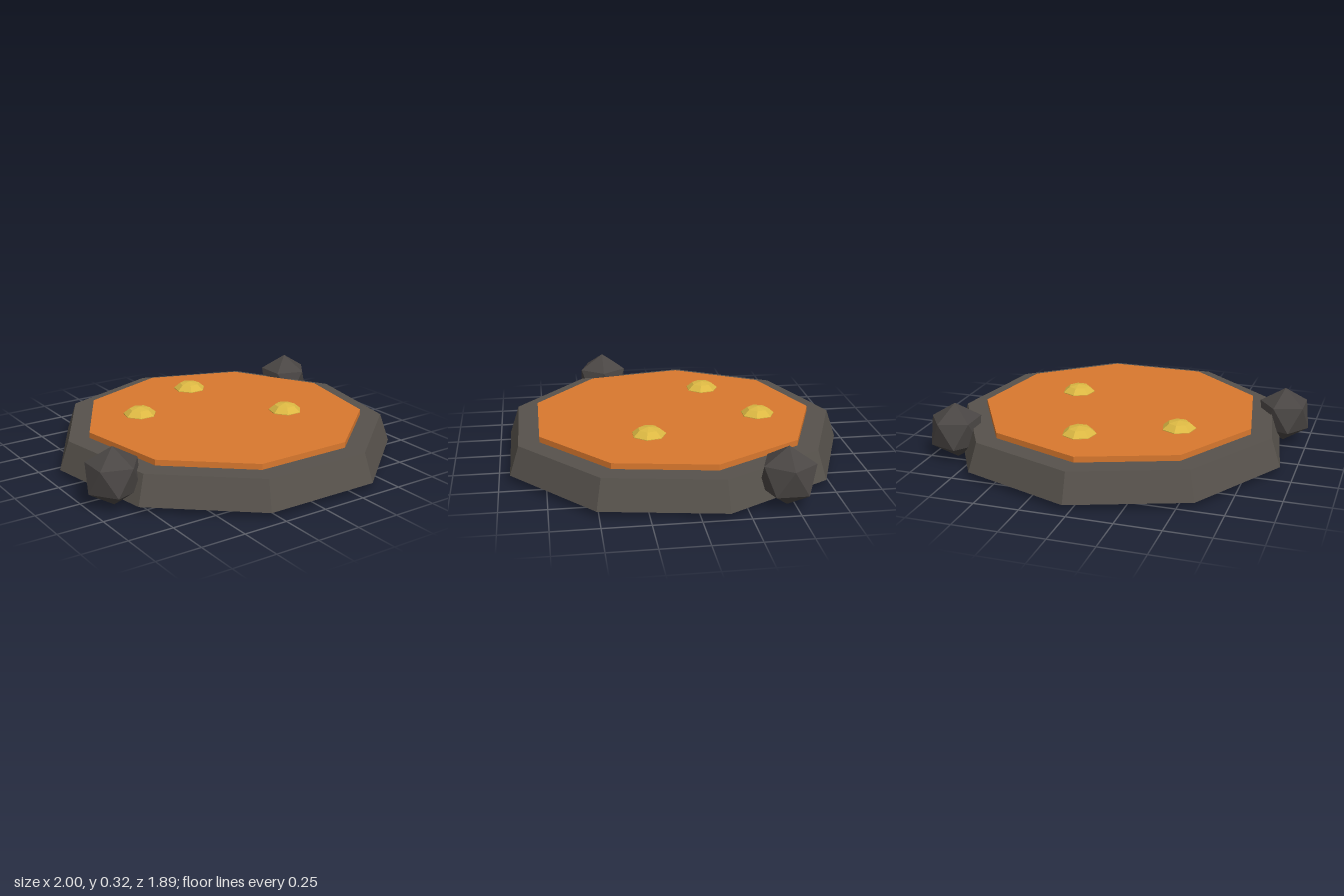
import * as THREE from 'three';

const mat = (name, color) => Object.assign(new THREE.MeshStandardMaterial({ color, flatShading: true }), { name });

export function createModel() {
  const group = new THREE.Group();
  const rimStone = mat('rim stone', 0x57524c);
  const darkRock = mat('dark rock', 0x4a4644);
  const lava = mat('orange lava', 0xd9782e);
  const gold = mat('golden bubble', 0xdcb843);

  const add = (name, geometry, material, x, y, z) => {
    const mesh = new THREE.Mesh(geometry, material);
    mesh.name = name;
    mesh.position.set(x, y, z);
    group.add(mesh);
  };

  // nine-sided tapered stone slab, one corner pointing back
  const cx = 0.037, cz = 0.026;
  add('stoneRim', new THREE.CylinderGeometry(0.918, 0.973, 0.16, 9).rotateY(Math.PI), rimStone, cx, 0.118, cz);

  // raised disc of lava
  add('lavaPool', new THREE.CylinderGeometry(0.798, 0.798, 0.06, 9).rotateY(Math.PI), lava, cx, 0.2, cz);

  // flattened bubbles, half sunk in the lava
  const bubble = new THREE.SphereGeometry(0.1, 7, 5).rotateY(-Math.PI / 2).scale(1, 0.6, 1);
  [[0.12, -0.46], [-0.37, -0.22], [0.36, 0.19]].forEach(([x, z], i) =>
    add('bubble' + (i + 1), bubble, gold, x, 0.215, z));

  // boulders on the rim, each standing on a point
  const boulder = new THREE.IcosahedronGeometry(0.16, 0)
    .rotateX(-Math.atan((1 + Math.sqrt(5)) / 2))
    .rotateY(Math.PI / 2);
  add('leftBoulder', boulder, darkRock, 0.853, 0.165, -0.46);
  add('rightBoulder', boulder, darkRock, -0.857, 0.165, 0.35);

  return group;
}
